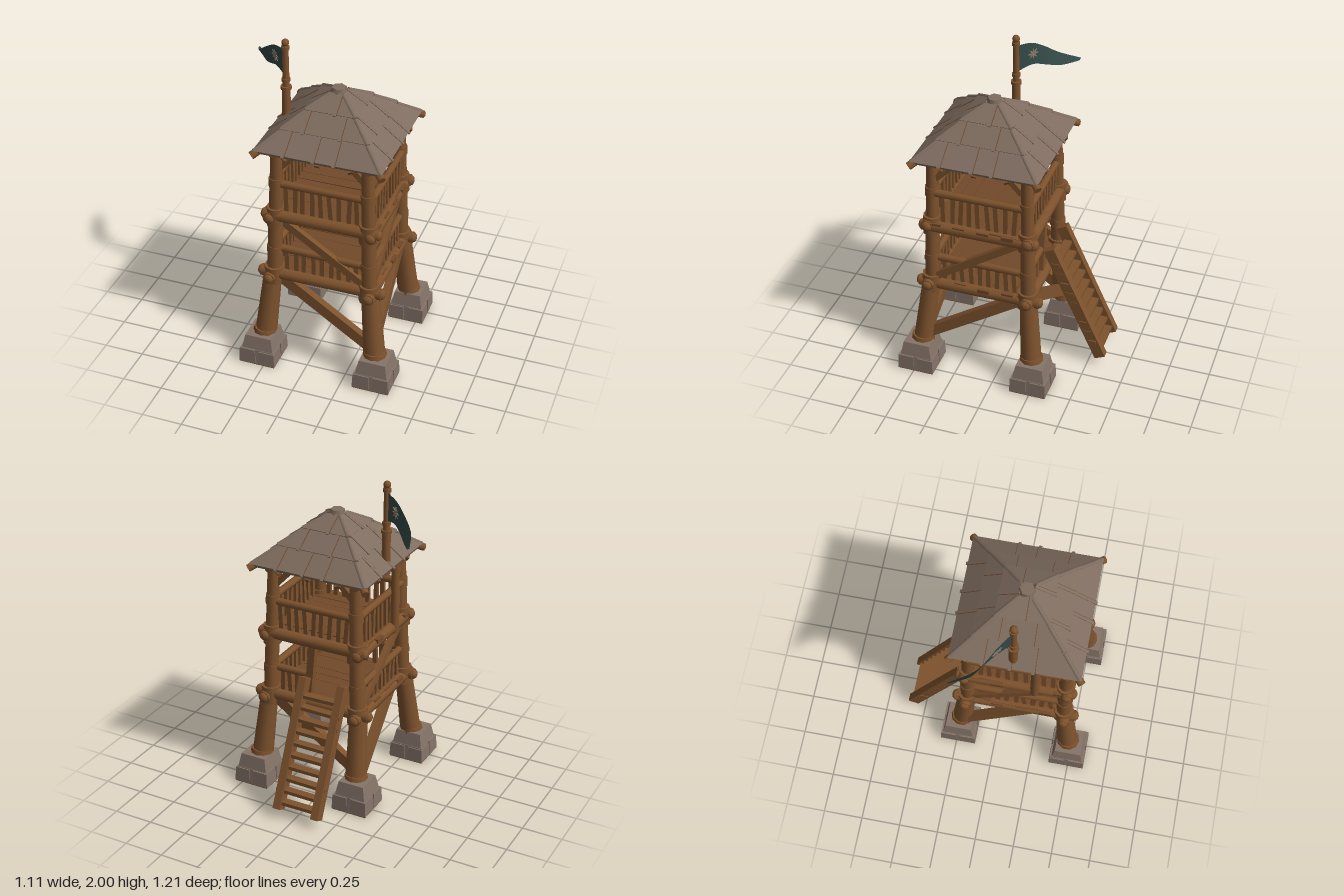
import * as THREE from 'three';

const mat = (name, color, side = THREE.FrontSide) => {
  const m = new THREE.MeshStandardMaterial({ color, side });
  m.name = name;
  return m;
};
const V = (x, y, z) => new THREE.Vector3(x, y, z);

export function createModel() {
  const wood = mat('wood', 0x7d522d);
  const darkWood = mat('dark wood', 0x73492a);
  const stone = mat('stone', 0x857469);
  const slate = mat('roof shingle', 0x7e6c5f);
  const cloth = mat('flag cloth', 0x334946, THREE.DoubleSide);
  const pale = mat('flag emblem', 0x857a6c);

  let seed = 7;
  const rnd = (a = 1) => {
    seed = (seed * 16807) % 2147483647;
    return (seed / 2147483647 * 2 - 1) * a;
  };

  const model = new THREE.Group();
  model.name = 'watchtower';
  const tower = new THREE.Group();
  tower.name = 'tower';
  tower.position.set(0.07, 0, 0.118);
  model.add(tower);

  const add = (parent, name, geo, material, pos) => {
    const mesh = new THREE.Mesh(geo, material);
    mesh.name = name;
    if (pos) mesh.position.copy(pos);
    parent.add(mesh);
    return mesh;
  };
  const faceted = (geo) => {
    const g = geo.toNonIndexed();
    g.computeVertexNormals();
    return g;
  };
  // round timber from a to b
  const log = (parent, name, a, b, r0, r1 = r0, sides = 10, material = wood) => {
    const d = b.clone().sub(a);
    const m = add(parent, name, new THREE.CylinderGeometry(r1, r0, d.length(), sides), material,
      a.clone().add(b).multiplyScalar(0.5));
    m.quaternion.setFromUnitVectors(V(0, 1, 0), d.normalize());
    return m;
  };
  // squared timber from a to b: w sideways, t along the outward direction
  const plank = (parent, name, a, b, w, t, out = V(0, 0, 1), material = wood) => {
    const y = b.clone().sub(a), len = y.length();
    y.normalize();
    const x = y.clone().cross(out).normalize(), z = x.clone().cross(y);
    const m = add(parent, name, new THREE.BoxGeometry(w, len, t), material,
      a.clone().add(b).multiplyScalar(0.5));
    m.quaternion.setFromRotationMatrix(new THREE.Matrix4().makeBasis(x, y, z));
    return m;
  };
  // tapered square block
  const block = (parent, name, half, topHalf, h, pos, material) => {
    const g = new THREE.CylinderGeometry(topHalf * Math.SQRT2, half * Math.SQRT2, h, 4);
    return add(parent, name, faceted(g.rotateY(Math.PI / 4)), material, pos);
  };

  // four corners: stone footing, splayed leg and post (sign x, sign z, footing x, footing z)
  for (const [sx, sz, fx, fz] of [[-1, 1, -0.362, 0.37], [1, 1, 0.37, 0.37], [-1, -1, -0.327, -0.358], [1, -1, 0.363, -0.358]]) {
    const foot = new THREE.Group();
    foot.name = 'stoneFooting';
    foot.position.set(fx, 0, fz);
    tower.add(foot);
    block(foot, 'lowerStone', 0.112, 0.103, 0.1, V(0, 0.053, 0), stone);
    block(foot, 'upperStone', 0.1, 0.083, 0.09, V(0, 0.145, 0), stone);
    block(foot, 'footingBase', 0.113, 0.113, 0.004, V(0, 0.002, 0), wood);
    for (const bx of [-1, 1]) for (const bz of [-1, 1])
      block(foot, 'cornerStone', 0.053, 0.049, 0.092 + rnd(0.008), V(bx * 0.062, 0.053, bz * 0.062), stone);

    log(tower, 'leg', V(fx - sx * 0.015, 0.17, fz - sz * 0.015), V(sx * 0.308, 0.6, sz * 0.31), 0.067, 0.055);
    log(tower, 'legCollar', V(fx - sx * 0.012, 0.18, fz - sz * 0.012), V(fx - sx * 0.014, 0.212, fz - sz * 0.014), 0.075, 0.07);
    log(tower, 'post', V(sx * 0.3, 0.58, sz * 0.305), V(sx * 0.273, 1.47, sz * 0.288), 0.048, 0.036);
    for (const [y, r, h] of [[0.6, 0.065, 0.11], [1.01, 0.058, 0.12], [1.24, 0.046, 0.06], [0.78, 0.051, 0.045]]) {
      const px = 0.3 - 0.03 * (y - 0.58), pz = 0.305 - 0.019 * (y - 0.58);
      log(tower, 'postBand', V(sx * px, y - h / 2, sz * pz), V(sx * px, y + h / 2, sz * pz), r, r * 0.95);
    }
  }

  // four similar sides, each built facing +z and then turned
  for (let i = 0; i < 4; i++) {
    const side = new THREE.Group();
    side.name = ['frontSide', 'leftSide', 'backSide', 'rightSide'][i];
    side.rotation.y = i * Math.PI / 2;
    tower.add(side);
    const back = i === 2, f = i % 2 ? -1 : 1, dy = f * 0.006;

    // floor beams with rounded ends
    for (const [y, half, r] of [[0.6, 0.38, 0.037], [1.015, 0.35, 0.038]]) {
      log(side, 'floorBeam', V(-half, y + dy, 0.312), V(half, y + dy, 0.312), r);
      for (const s of [-1, 1]) {
        const knob = add(side, 'beamEnd', new THREE.SphereGeometry(r * 0.85, 10, 8), wood, V(s * half, y + dy, 0.312));
        knob.scale.x = 0.7;
      }
    }
    log(side, 'roofBeam', V(-0.33, 1.45 + dy, 0.285), V(0.33, 1.45 + dy, 0.285), 0.028);
    for (const s of [-1, 1])
      plank(side, 'kneeBrace', V(s * 0.265, 1.33, 0.283), V(s * 0.15, 1.45, 0.283), 0.036, 0.032);

    // diagonal braces
    plank(side, 'lowerBrace', V(f * 0.34, 0.22, 0.342), V(i === 3 ? 0.12 : -f * 0.27, 0.6, 0.31), 0.07, 0.046);
    if (!back) plank(side, 'upperBrace', V(f * 0.29, 0.64, 0.312), V(-f * 0.27, 1.0, 0.3), 0.046, 0.034);

    // railings; the lower back one leaves room for the ladder
    for (const [bottom, top] of [[0.63, 0.78], [1.04, 1.235]]) {
      const open = back && bottom < 1;
      log(side, 'handrail', V(-0.28, top + rnd(0.008), 0.297), V(open ? -0.04 : 0.28, top + rnd(0.008), 0.297), 0.024, 0.022, 8);
      for (let k = 0; k < 9; k++) {
        const x = -0.22 + k * 0.055;
        if (open && x > -0.06) continue;
        plank(side, 'baluster', V(x + rnd(0.006), bottom, 0.297), V(x + rnd(0.012), top, 0.297), 0.027, 0.021);
      }
    }
    // rafters carrying the roof
    log(side, 'hipRafter', V(0.39, 1.448, 0.39), V(0.03, 1.685, 0.03), 0.024, 0.022, 8);
    for (const x of [-0.2, 0, 0.2])
      plank(side, 'rafter', V(x, 1.445, 0.375), V(x * 0.4, 1.61, 0.16), 0.03, 0.025, V(0, 0.7, 0.7));
  }
  // doorway post above the ladder
  plank(tower, 'doorPost', V(0.04, 0.6, -0.3), V(0.0, 1.02, -0.3), 0.045, 0.04);

  // plank floors with uneven ends
  for (const y of [0.615, 1.03]) for (let k = 0; k < 8; k++) {
    const b = add(tower, 'floorBoard', new THREE.BoxGeometry(0.66 + rnd(0.03), 0.025, 0.073), darkWood,
      V(rnd(0.01), y + rnd(0.003), -0.2625 + k * 0.075));
    b.rotation.y = rnd(0.01);
  }

  // hipped roof in three slightly overlapping tiers
  const pyramid = (pts) => faceted(new THREE.LatheGeometry(
    pts.map(([r, y]) => new THREE.Vector2(r * Math.SQRT2, y)), 4, Math.PI / 4));
  const tiers = [[0.386, 1.478, 0.262, 1.574], [0.268, 1.58, 0.153, 1.664], [0.159, 1.67, 0.04, 1.742]];
  add(tower, 'roof', pyramid([[0.376, 1.46], ...tiers.flatMap(([r0, y0, r1, y1]) => [[r0, y0], [r1, y1]])]), slate);
  add(tower, 'roofUnderside', pyramid([[0.03, 1.705], [0.376, 1.46]]), darkWood);
  log(tower, 'roofCap', V(0, 1.725, 0), V(0, 1.763, 0), 0.054, 0.043, 6, slate);
  for (let i = 0; i < 4; i++) {
    const roofSide = new THREE.Group();
    roofSide.name = 'roofSide';
    roofSide.rotation.y = i * Math.PI / 2;
    tower.add(roofSide);
    tiers.forEach(([z0, y0, z1, y1], t) => {
      log(roofSide, 'hipRidge', V(z0 - 0.008, y0 - 0.006, z0 - 0.008), V(z1, y1 - 0.01, z1), 0.015, 0.014, 8, slate);
      // raised shingle edges with a dark gap beside them
      const out = V(0, z0 - z1, y1 - y0).normalize();
      for (const x of [[-0.2, -0.02, 0.11], [-0.12, 0.09], [0.02]][t]) {
        const x0 = x + rnd(0.01), x1 = x0 * 0.97;
        plank(roofSide, 'shingleEdge', V(x0, y0 - 0.006, z0 + 0.008), V(x1, y1, z1), 0.018, 0.008, out, slate);
        plank(roofSide, 'shingleGap', V(x0 + 0.011, y0, z0), V(x1 + 0.011, y1, z1), 0.004, 0.004, out, darkWood);
      }
    });
  }

  // ladder with side rails and treads
  const ladder = new THREE.Group();
  ladder.name = 'ladder';
  model.add(ladder);
  const foot = V(0, 0.055, -0.578), head = V(0, 0.795, -0.235);
  for (const x of [-0.157, 0.102])
    plank(ladder, 'ladderRail', foot.clone().setX(x), head.clone().setX(x), 0.048, 0.07);
  for (let k = 0; k < 10; k++) {
    const p = foot.clone().lerp(head, 0.06 + k * 0.09);
    p.x = -0.027 + rnd(0.004);
    const tread = add(ladder, 'tread', new THREE.BoxGeometry(0.31 + rnd(0.01), 0.022, 0.05), wood, p);
    tread.rotation.z = rnd(0.015);
  }

  // flagpole and its lower support
  const pole = new THREE.Group();
  pole.name = 'flagpole';
  model.add(pole);
  const px = -0.262, pz = 0.102;
  log(pole, 'poleSupport', V(px, 0.98, 0.235), V(px, 1.5, 0.235), 0.028, 0.024);
  log(pole, 'lowerPole', V(px, 1.42, pz), V(px, 1.7, pz), 0.028, 0.025);
  log(pole, 'upperPole', V(px, 1.68, pz), V(px, 1.965, pz), 0.021, 0.018);
  for (const [y, r] of [[1.69, 0.033], [1.74, 0.026], [1.945, 0.025]])
    log(pole, 'poleBand', V(px, y - 0.01, pz), V(px, y + 0.01, pz), r);
  add(pole, 'finial', new THREE.SphereGeometry(0.023, 10, 8), wood, V(px, 1.977, pz));

  // waving pennant: top and bottom edges swept along a curve
  const topEdge = new THREE.CatmullRomCurve3([V(px, 1.93, pz), V(-0.355, 1.915, 0.035),
    V(-0.425, 1.87, -0.015), V(-0.505, 1.8, -0.085), V(-0.558, 1.755, -0.21)]);
  const lowEdge = new THREE.CatmullRomCurve3([V(px, 1.755, pz), V(-0.35, 1.778, 0.025),
    V(-0.41, 1.755, -0.03), V(-0.473, 1.73, -0.105), V(-0.54, 1.745, -0.205)]);
  const flagGeo = new THREE.PlaneGeometry(1, 1, 20, 4);
  const pos = flagGeo.attributes.position;
  for (let i = 0; i < pos.count; i++) {
    const u = pos.getX(i) + 0.5, v = pos.getY(i) + 0.5;
    const p = lowEdge.getPoint(u).lerp(topEdge.getPoint(u), v);
    pos.setXYZ(i, p.x, p.y, p.z);
  }
  flagGeo.computeVertexNormals();
  add(pole, 'flag', flagGeo, cloth);

  // plain star painted on both faces of the flag
  const star = new THREE.Shape(Array.from({ length: 16 }, (_, k) => {
    const r = k % 2 ? 0.016 : 0.038, a = k * Math.PI / 8;
    return new THREE.Vector2(Math.cos(a) * r, Math.sin(a) * r);
  }));
  const starGeo = new THREE.ExtrudeGeometry(star, { depth: 0.009, bevelEnabled: false }).translate(0, 0, -0.0045);
  const u = 0.26, tangent = topEdge.getTangent(u);
  const emblem = add(pole, 'flagStar', starGeo, pale, topEdge.getPoint(u).lerp(lowEdge.getPoint(u), 0.5));
  emblem.rotation.y = Math.atan2(-tangent.z, tangent.x);

  return model;
}
